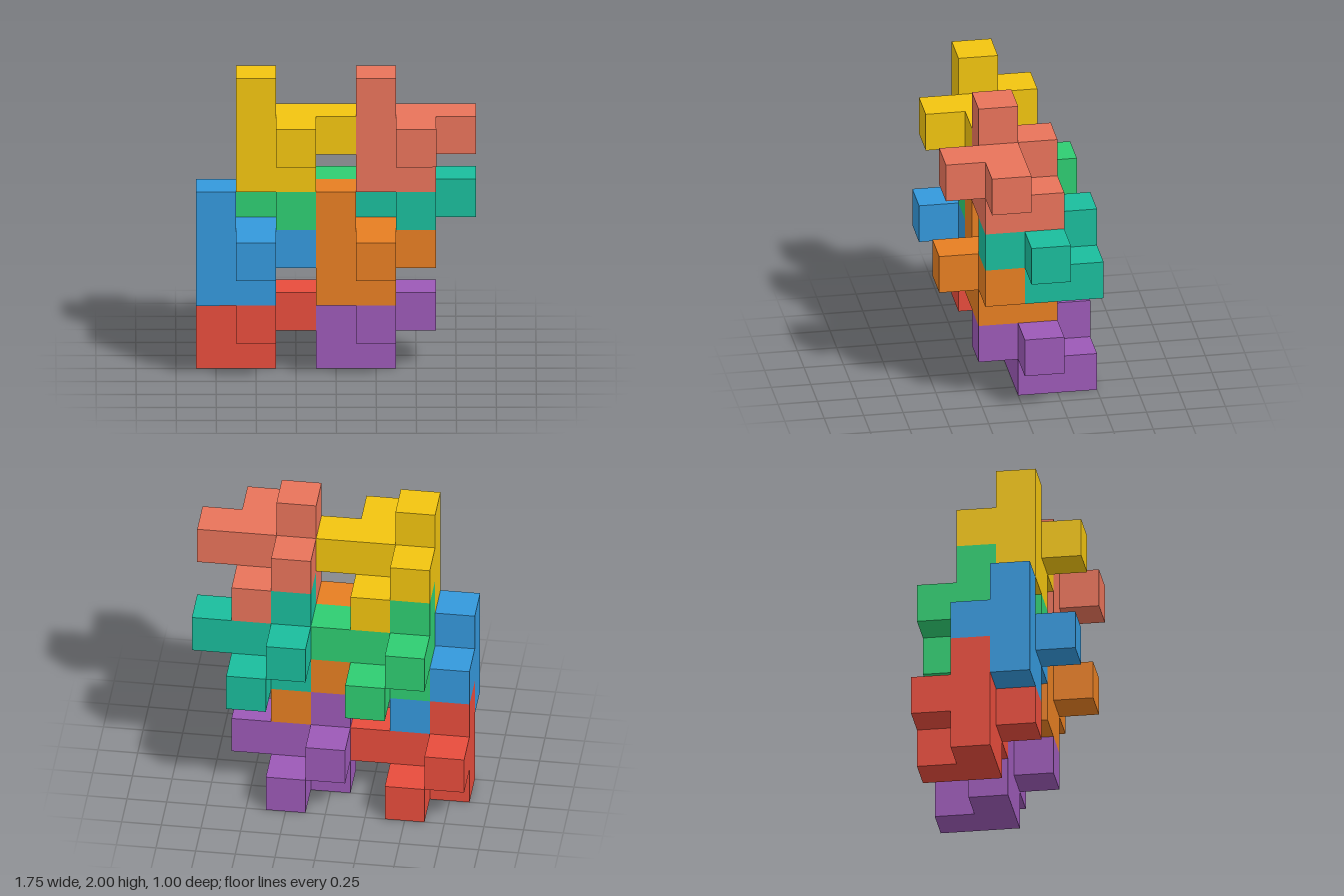
import * as THREE from 'three';
import { mergeGeometries } from 'three/addons/utils/BufferGeometryUtils.js';

const CELL = 0.25;

// One nine-cell interlocking block, as [x, y, z] cells
const CELLS = [
  [1, 0, 0], [0, 0, 1], [1, 0, 1],
  [0, 1, 0], [0, 1, 1], [1, 1, 1], [2, 1, 1], [1, 1, 2],
  [0, 2, 1],
];

// Copies of the block: name, colour and cell offset
const BLOCKS = [
  ['redBlock', 0xe74c3c, [0, 0, 0]],
  ['purpleBlock', 0x9b59b6, [3, 0, 0]],
  ['blueBlock', 0x3498db, [0, 2, 1]],
  ['orangeBlock', 0xe67e22, [3, 2, 1]],
  ['greenBlock', 0x2ecc71, [1, 3, 0]],
  ['tealBlock', 0x1abc9c, [4, 3, 0]],
  ['yellowBlock', 0xf1c40f, [1, 5, 1]],
  ['salmonBlock', 0xe8735a, [4, 5, 1]],
];

const DIRECTIONS = [[1, 0, 0], [-1, 0, 0], [0, 1, 0], [0, -1, 0], [0, 0, 1], [0, 0, -1]];

// Outer skin of the block: a square on every cell side with no neighbour
function blockGeometry() {
  const filled = new Set(CELLS.map(String));
  const front = new THREE.Vector3(0, 0, 1);
  const faces = [];
  for (const cell of CELLS) {
    for (const dir of DIRECTIONS) {
      if (filled.has(String(cell.map((c, i) => c + dir[i])))) continue;
      const turn = new THREE.Quaternion().setFromUnitVectors(front, new THREE.Vector3(...dir));
      const centre = cell.map((c, i) => (c + 0.5 + dir[i] / 2) * CELL);
      faces.push(new THREE.PlaneGeometry(CELL, CELL).applyQuaternion(turn).translate(...centre));
    }
  }
  return mergeGeometries(faces);
}

export function createModel() {
  const model = new THREE.Group();
  model.name = 'interlockingBlocks';
  const geometry = blockGeometry();
  for (const [name, color, [x, y, z]] of BLOCKS) {
    const block = new THREE.Mesh(geometry, new THREE.MeshStandardMaterial({ color }));
    block.name = name;
    block.position.set(x * CELL - 0.875, y * CELL, z * CELL - 0.5);
    model.add(block);
  }
  return model;
}
